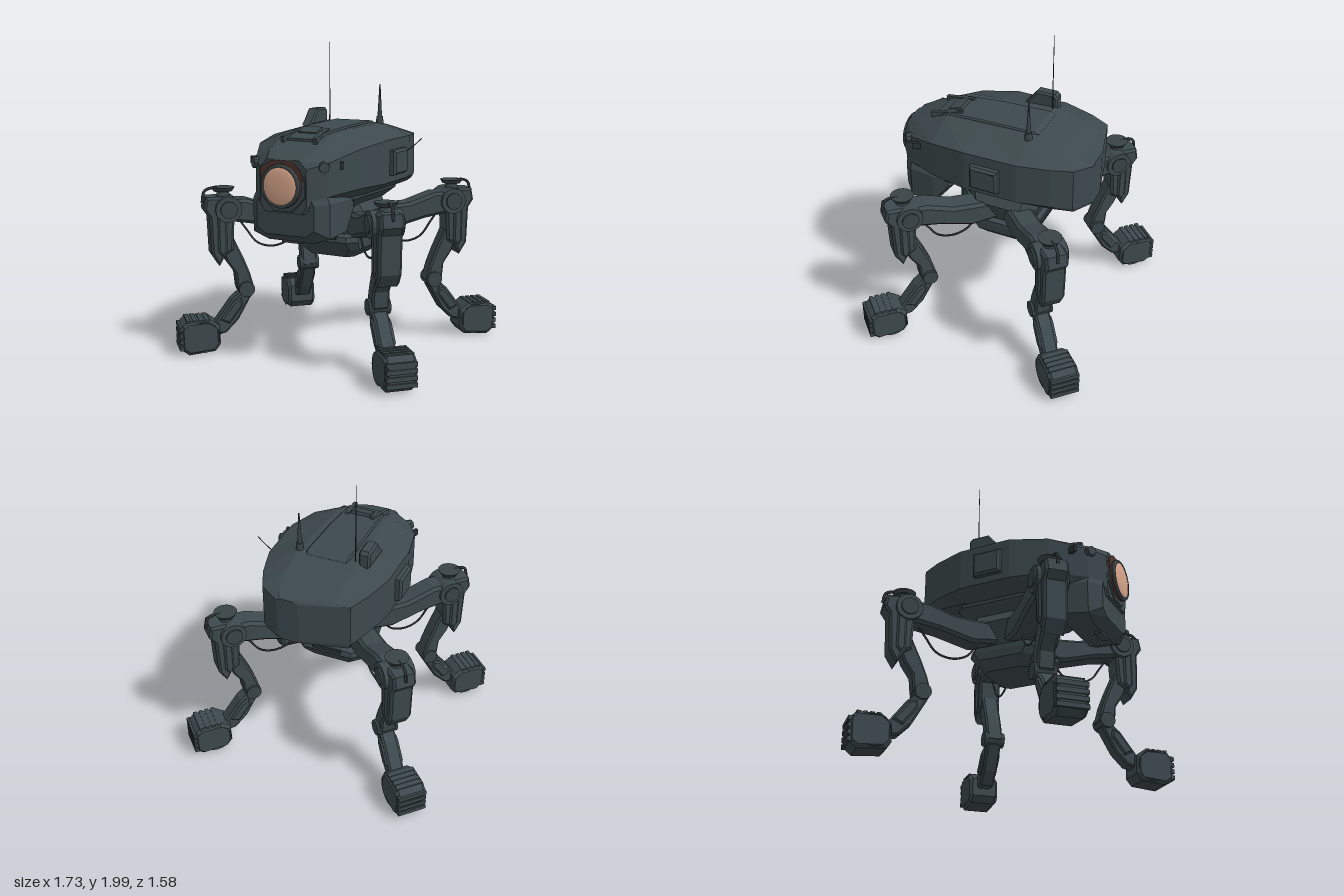
import * as THREE from 'three';

const mat = (name, color) => {
  const m = new THREE.MeshStandardMaterial({ color });
  m.name = name;
  return m;
};

// Closed skin through rings of [x, y, z], front ring first, counter-clockwise seen from +z
function loft(rings) {
  const n = rings[0].length, pos = [];
  const tri = (a, b, c) => pos.push(...a, ...b, ...c);
  for (let i = 0; i < rings.length - 1; i++) {
    for (let j = 0; j < n; j++) {
      const k = (j + 1) % n, p = rings[i], q = rings[i + 1];
      tri(p[j], q[j], p[k]);
      tri(p[k], q[j], q[k]);
    }
  }
  const first = rings[0], last = rings[rings.length - 1];
  for (let j = 1; j < n - 1; j++) {
    tri(first[0], first[j], first[j + 1]);
    tri(last[0], last[j + 1], last[j]);
  }
  const g = new THREE.BufferGeometry();
  g.setAttribute('position', new THREE.Float32BufferAttribute(pos, 3));
  g.computeVertexNormals();
  return g;
}

// Section of a hull: flat roof, vertical sides, chamfered floor
const hullRing = ([z, wt, w, wb, yt, yu, yl, yb, dx = 0]) => [
  [wb, yb], [w, yl], [w, yu], [wt, yt], [-wt, yt], [-w, yu], [-w, yl], [-wb, yb],
].map(([x, y]) => [x + dx, y, z]);

// Stack of chamfered rectangles, levels [y, halfX, halfZ, chamfer] from top to bottom
const stack = (levels) => loft(levels.map(([y, a, b, c]) => [
  [a, -b + c], [a, b - c], [a - c, b], [-a + c, b], [-a, b - c], [-a, -b + c], [-a + c, -b], [a - c, -b],
].map(([u, v]) => [u, v, y]))).rotateX(-Math.PI / 2);

// Bevelled plate from an outline in x, y, centred on z
function plate(points, width, bevel = 0.012, hole) {
  const s = new THREE.Shape(points.map(([x, y]) => new THREE.Vector2(x, y)));
  if (hole) s.holes.push(new THREE.Path().absarc(hole[0], hole[1], hole[2], 0, Math.PI * 2, true));
  const depth = width - 2 * bevel;
  return new THREE.ExtrudeGeometry(s, {
    depth, bevelEnabled: bevel > 0, bevelSize: bevel, bevelOffset: -bevel,
    bevelThickness: bevel, bevelSegments: 1, curveSegments: 10,
  }).translate(0, 0, -depth / 2);
}

const tube = (pts, r) => new THREE.TubeGeometry(
  new THREE.CatmullRomCurve3(pts.map(p => new THREE.Vector3(...p))), 20, r, 6);

export function createModel() {
  const root = new THREE.Group();
  root.name = 'walkerRobot';
  const armour = mat('armour', 0x3d494d);
  armour.flatShading = true;
  const metal = mat('smoothMetal', 0x394447);
  const dark = mat('darkRubber', 0x2b3336);
  const rust = mat('rust', 0x50342f);
  const glass = mat('lensGlass', 0xdba88c);

  const add = (parent, name, geo, m, x = 0, y = 0, z = 0) => {
    const mesh = new THREE.Mesh(geo, m);
    mesh.name = name;
    mesh.position.set(x, y, z);
    parent.add(mesh);
    return mesh;
  };

  // Main hull and chin
  add(root, 'hull', loft([
    [0.71, 0.11, 0.16, 0.13, 1.32, 1.27, 1.05, 1.0],
    [0.62, 0.15, 0.25, 0.2, 1.36, 1.3, 1.1, 1.0],
    [0.4, 0.17, 0.36, 0.27, 1.45, 1.37, 1.13, 1.06],
    [0.15, 0.18, 0.41, 0.31, 1.465, 1.4, 1.13, 1.07],
    [-0.2, 0.2, 0.405, 0.31, 1.475, 1.4, 1.13, 1.07],
    [-0.4, 0.19, 0.35, 0.3, 1.435, 1.39, 1.12, 1.07],
    [-0.53, 0.18, 0.29, 0.27, 1.4, 1.38, 1.1, 1.07],
    [-0.61, 0.04, 0.07, 0.06, 1.38, 1.365, 1.1, 1.08, 0.09],
  ].map(hullRing)), armour);
  add(root, 'chin', loft([
    [0.69, 0.17, 0.2, 0.14, 1.1, 1.05, 0.9, 0.86],
    [0.62, 0.24, 0.27, 0.16, 1.12, 1.06, 0.85, 0.81],
    [0.45, 0.26, 0.29, 0.17, 1.12, 1.06, 0.87, 0.83],
    [0.34, 0.25, 0.28, 0.2, 1.12, 1.06, 1.0, 0.97],
  ].map(hullRing)), armour);
  add(root, 'chinLatch', new THREE.BoxGeometry(0.13, 0.03, 0.05), armour, 0, 0.815, 0.6);
  add(root, 'belly', stack([
    [1.1, 0.29, 0.36, 0.06], [1.05, 0.29, 0.36, 0.06], [0.97, 0.2, 0.28, 0.05],
  ]), armour, 0, 0, 0.06);

  // Pelvis under the belly carrying the legs
  add(root, 'pelvis', stack([
    [1.0, 0.22, 0.23, 0.06], [0.93, 0.26, 0.25, 0.1], [0.79, 0.2, 0.2, 0.06], [0.775, 0.23, 0.23, 0.06],
    [0.74, 0.23, 0.24, 0.06], [0.69, 0.225, 0.2, 0.05], [0.63, 0.165, 0.155, 0.04],
  ]), armour);
  for (const s of [-1, 1]) add(root, 'pelvisRib', new THREE.BoxGeometry(0.2, 0.03, 0.02), dark, 0, 0.77, s * 0.235);

  // Roof panel, vent ridges and sensor box
  add(root, 'roofPanel', loft([
    [0.5, 0.1, 0.11, 0.11, 1.425, 1.415, 1.36, 1.34],
    [0.4, 0.12, 0.13, 0.13, 1.46, 1.45, 1.36, 1.34],
    [0.15, 0.13, 0.14, 0.14, 1.477, 1.468, 1.36, 1.34],
    [-0.2, 0.135, 0.145, 0.145, 1.485, 1.476, 1.36, 1.34],
    [-0.23, 0.13, 0.14, 0.14, 1.47, 1.46, 1.36, 1.34],
  ].map(hullRing)), armour);
  for (const s of [-1, 1]) {
    const ridge = add(root, 'ventRidge', new THREE.BoxGeometry(0.025, 0.05, 0.22), armour, s * 0.1, 1.432, 0.42);
    ridge.rotation.set(0.2, s * 0.13, 0);
  }
  const vent = add(root, 'ventStep', new THREE.BoxGeometry(0.13, 0.03, 0.09), armour, 0, 1.458, 0.38);
  vent.rotation.x = 0.3;
  add(root, 'roofSensorBox', plate([[-0.02, 1.45], [0.21, 1.45], [0.21, 1.54], [0.19, 1.56], [0.07, 1.56], [0.02, 1.5]], 0.075)
    .rotateY(Math.PI / 2), armour, -0.242, 0, 0);

  // Antennas
  add(root, 'whipAntenna', new THREE.CylinderGeometry(0.002, 0.004, 0.53, 6), dark, -0.18, 1.735, -0.19);
  add(root, 'stubAntenna', new THREE.CylinderGeometry(0.004, 0.018, 0.25, 8), metal, 0.195, 1.6, -0.19);
  add(root, 'antennaBase', new THREE.CylinderGeometry(0.022, 0.028, 0.05, 8), metal, 0.195, 1.49, -0.19);
  add(root, 'sideAntenna', tube([[0.44, 1.31, -0.07], [0.5, 1.355, -0.07], [0.55, 1.4, -0.07]], 0.003), dark);

  // Side boxes and brow sensors
  for (const s of [-1, 1]) {
    const box = add(root, 'sideBox', plate([[-0.095, -0.08], [0.095, -0.08], [0.095, 0.08], [-0.095, 0.08]], 0.09, 0.015), armour, s * 0.405, 1.255, 0.005);
    box.rotation.y = Math.PI / 2;
    const brow = add(root, 'browSensor', new THREE.CylinderGeometry(0.032, 0.038, 0.05, 8), armour, s * 0.235, 1.28, 0.63);
    brow.rotation.set(Math.PI / 2, 0, -s * 0.6);
    const slot = add(root, 'browSlot', new THREE.BoxGeometry(0.02, 0.045, 0.08), dark, s * 0.3, 1.285, 0.53);
    slot.rotation.y = s * 0.48;
  }

  // Eye: collar, worn paint, rim and lens
  add(root, 'eyeCollar', new THREE.CylinderGeometry(0.165, 0.19, 0.07, 8).rotateX(Math.PI / 2).rotateZ(Math.PI / 8), armour, 0, 1.165, 0.685);
  add(root, 'wornPaint', plate([[-0.15, 1.2], [0.15, 1.2], [0.13, 1.26], [0.07, 1.315], [-0.07, 1.315], [-0.15, 1.27]], 0.006, 0), rust, 0, 0, 0.722);
  add(root, 'eyeRim', new THREE.CylinderGeometry(0.128, 0.135, 0.04, 24).rotateX(Math.PI / 2), rust, 0, 1.165, 0.73);
  add(root, 'eyeRing', new THREE.TorusGeometry(0.122, 0.012, 8, 28), metal, 0, 1.165, 0.742);
  add(root, 'eyeLens', new THREE.SphereGeometry(0.115, 28, 14).scale(1, 1, 0.13), glass, 0, 1.165, 0.748);

  // One leg, pointing out along local x
  const disc = (r, len) => new THREE.CylinderGeometry(r, r, len, 16).rotateX(Math.PI / 2);
  function makeLeg() {
    const leg = new THREE.Group();
    leg.name = 'leg';
    add(leg, 'arm', plate([[0.2, 0.8], [0.38, 0.78], [0.6, 0.84], [0.84, 0.88], [0.84, 1.01], [0.68, 1.01], [0.5, 0.95], [0.2, 0.93]], 0.16, 0.02), armour);
    add(leg, 'hipJoint', disc(0.085, 0.2), armour, 0.8, 0.95);
    add(leg, 'hipBolt', disc(0.055, 0.225), metal, 0.8, 0.95);
    add(leg, 'hipPost', new THREE.CylinderGeometry(0.035, 0.05, 0.06, 12), armour, 0.82, 1.04, 0);
    add(leg, 'hipCap', new THREE.CylinderGeometry(0.075, 0.06, 0.025, 16), metal, 0.82, 1.072, 0);
    add(leg, 'hipGuard', tube([[0.84, 1.075, 0], [0.9, 1.08, 0], [0.94, 1.06, 0], [0.955, 0.99, 0]], 0.01), dark);
    add(leg, 'thighShell', plate([[0.78, 1.0], [0.82, 1.03], [0.94, 1.03], [0.955, 0.95], [0.92, 0.9], [0.91, 0.66], [0.86, 0.58], [0.82, 0.65], [0.77, 0.68], [0.76, 0.86]], 0.15, 0.015), armour);
    add(leg, 'thighRail', plate([[0.81, 0.9], [0.87, 0.9], [0.87, 0.68], [0.84, 0.64], [0.81, 0.68]], 0.175, 0.012), armour);
    add(leg, 'thighLink', plate([[0.76, 0.75], [0.85, 0.7], [0.81, 0.6], [0.755, 0.52], [0.745, 0.42], [0.69, 0.37], [0.63, 0.41], [0.66, 0.52], [0.7, 0.62]], 0.11), armour);
    add(leg, 'kneeJoint', disc(0.052, 0.14), metal, 0.685, 0.415);
    add(leg, 'shin', plate([[0.66, 0.43], [0.72, 0.4], [0.78, 0.35], [0.9, 0.19], [0.97, 0.15], [0.96, 0.1], [0.82, 0.13], [0.74, 0.21], [0.65, 0.37]], 0.1), armour);
    add(leg, 'shinCover', plate([[0.72, 0.36], [0.77, 0.34], [0.86, 0.22], [0.8, 0.19], [0.71, 0.31]], 0.125), armour);
    // Wheel-shaped foot with treads
    add(leg, 'foot', plate([[0.9, 0.025], [1.07, 0.01], [1.12, 0.05], [1.125, 0.19], [1.08, 0.235], [0.93, 0.235], [0.87, 0.19], [0.865, 0.07]], 0.2, 0.02, [0.975, 0.125, 0.082]), armour);
    add(leg, 'footHub', disc(0.052, 0.16), metal, 0.975, 0.12);
    for (let i = 0; i < 4; i++) {
      add(leg, 'tread', new THREE.BoxGeometry(0.03, 0.028, 0.19), armour, 1.115, 0.06 + i * 0.042, 0);
      add(leg, 'topTread', new THREE.BoxGeometry(0.026, 0.02, 0.18), armour, 0.95 + i * 0.04, 0.229, 0);
    }
    add(leg, 'cable', tube([[0.33, 0.8, 0], [0.4, 0.71, 0], [0.5, 0.68, 0], [0.6, 0.71, 0], [0.67, 0.8, 0], [0.72, 0.87, 0]], 0.007), dark);
    return leg;
  }
  for (const sx of [-1, 1]) {
    for (const sz of [-1, 1]) {
      const leg = makeLeg();
      leg.name = (sz > 0 ? 'front' : 'back') + (sx > 0 ? 'Left' : 'Right') + 'Leg';
      leg.rotation.y = Math.atan2(-sz, sx);
      leg.position.z = -sz * 0.075;
      root.add(leg);
    }
  }
  return root;
}
